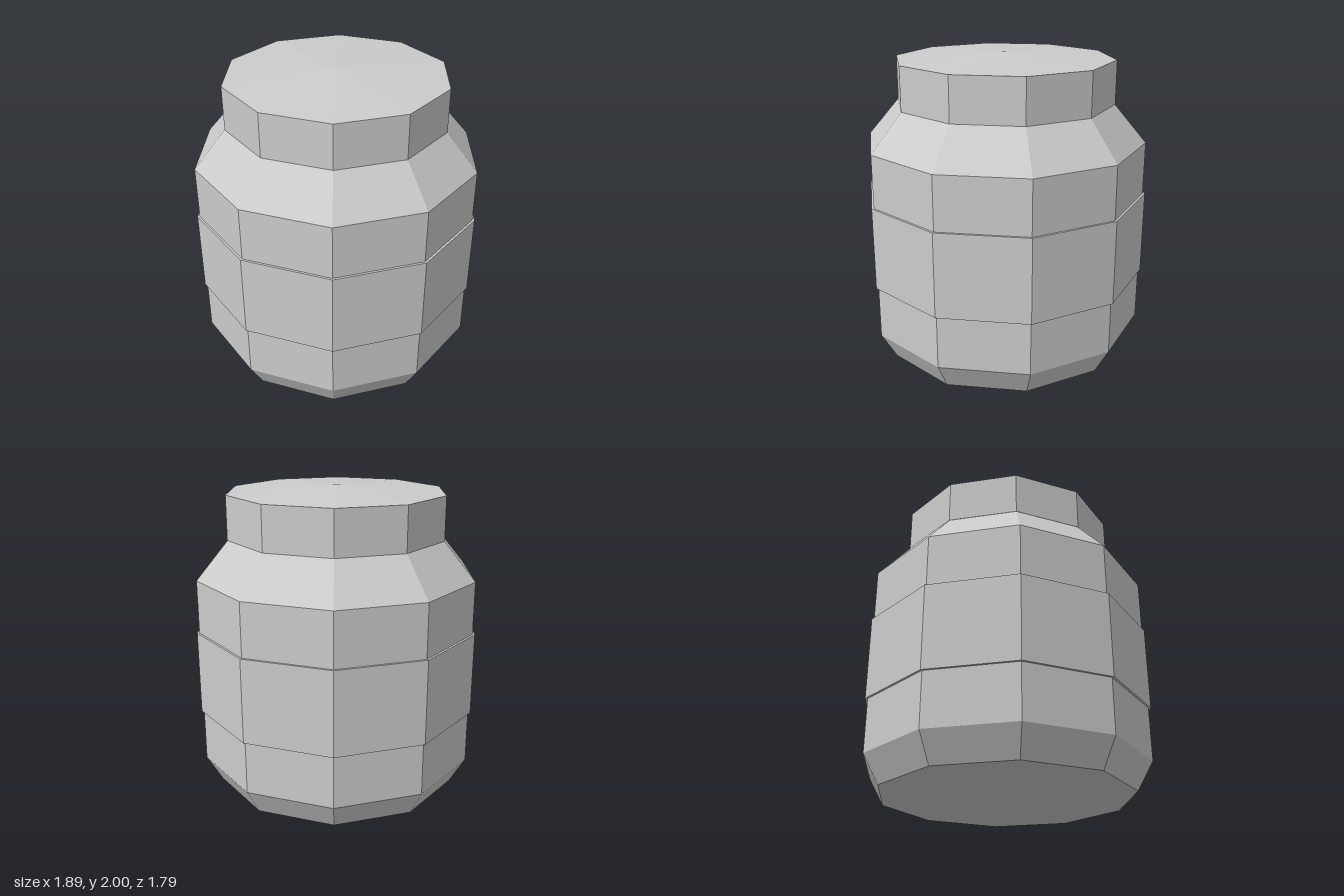
import * as THREE from 'three';

const SIDES = 10;

export function createModel() {
  const group = new THREE.Group();
  group.name = 'jar';
  const grey = new THREE.MeshStandardMaterial({ color: 0xcccccc });
  grey.name = 'light grey';
  grey.flatShading = true;

  // Ten-sided turned part, profile given as [radius, height] from bottom to top
  const turned = (name, profile) => {
    const points = profile.map(([r, y]) => new THREE.Vector2(r, y));
    // Start angle puts corners on the x axis and flat sides at front and back
    const geometry = new THREE.LatheGeometry(points, SIDES, Math.PI / SIDES);
    const mesh = new THREE.Mesh(geometry, grey);
    mesh.name = name;
    group.add(mesh);
  };

  // Body with bevelled foot and sloping shoulder
  turned('body', [[0, 0], [0.825, 0], [0.928, 0.182], [0.928, 1.428], [0.71, 1.685]]);

  // Label band wrapped round the middle
  turned('labelBand', [[0.925, 0.53], [0.943, 0.53], [0.943, 1.08], [0.925, 1.08]]);

  // Lid with a slightly peaked top
  turned('lid', [[0, 1.675], [0.72, 1.675], [0.72, 1.96], [0, 2]]);

  return group;
}
